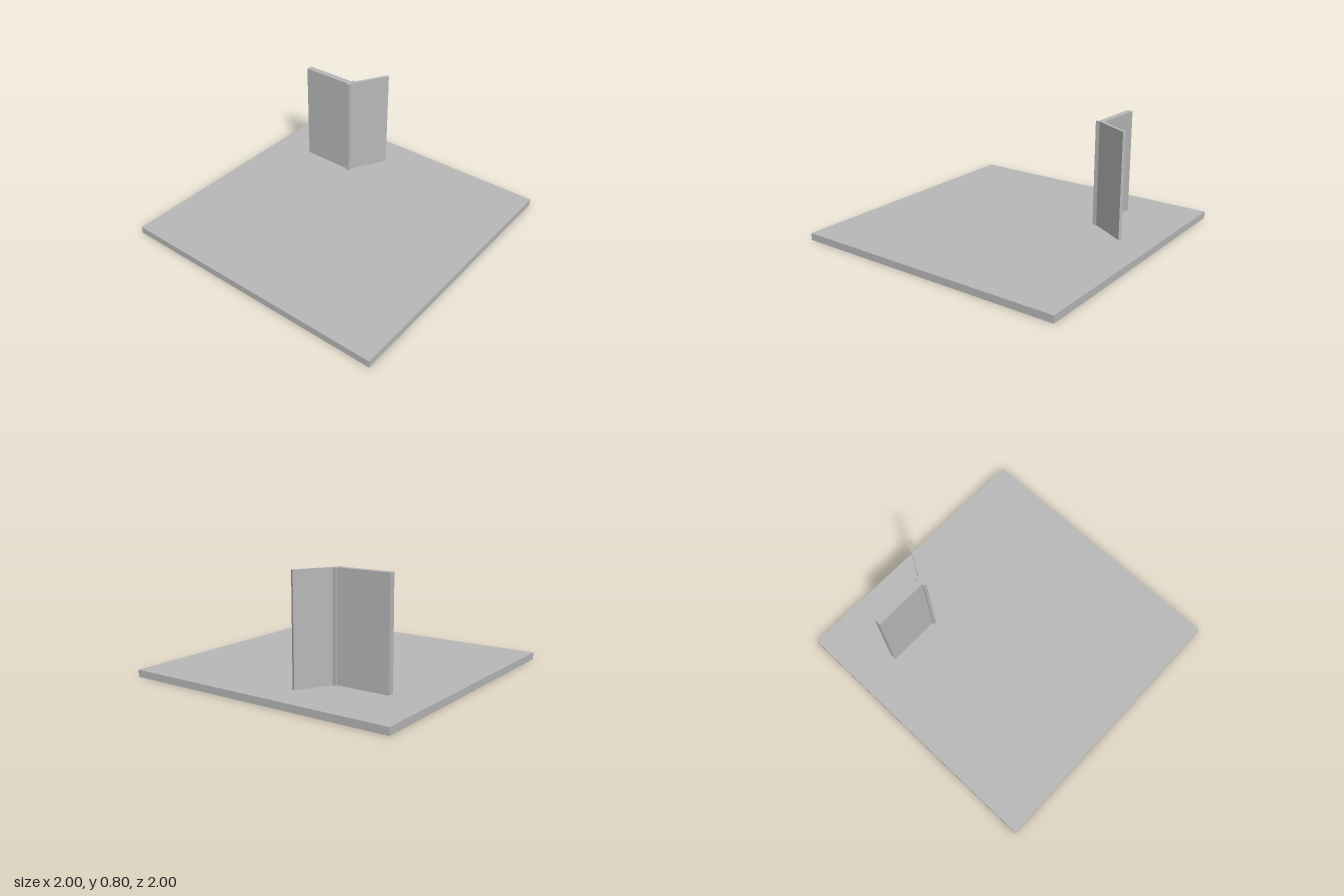
import * as THREE from 'three';

export function createModel() {
  const model = new THREE.Group();
  const grey = new THREE.MeshStandardMaterial({ color: 0xb8b8b8 });
  grey.name = 'matte grey';

  const baseHeight = 0.05;
  const wallHeight = 0.75;

  // Square ground slab
  const base = new THREE.Mesh(new THREE.BoxGeometry(2, baseHeight, 2), grey);
  base.name = 'baseSlab';
  base.position.y = baseHeight / 2;
  model.add(base);

  // Bent wall: straight panel, corner post and panel turned back by 60 degrees, as [x, z]
  const outline = [
    [-0.7, -0.48], [-0.315, -0.48], [-0.315, -0.465], [-0.292, -0.465],
    [-0.292, -0.495], [-0.142, -0.757], [-0.162, -0.767], [-0.292, -0.541],
    [-0.315, -0.541], [-0.315, -0.525], [-0.7, -0.525],
  ];
  const plan = new THREE.Shape(outline.map(([x, z]) => new THREE.Vector2(x, -z)));
  const wallGeometry = new THREE.ExtrudeGeometry(plan, { depth: wallHeight, bevelEnabled: false });
  wallGeometry.rotateX(-Math.PI / 2);
  const wall = new THREE.Mesh(wallGeometry, grey);
  wall.name = 'angledWall';
  wall.position.y = baseHeight;
  model.add(wall);

  return model;
}
